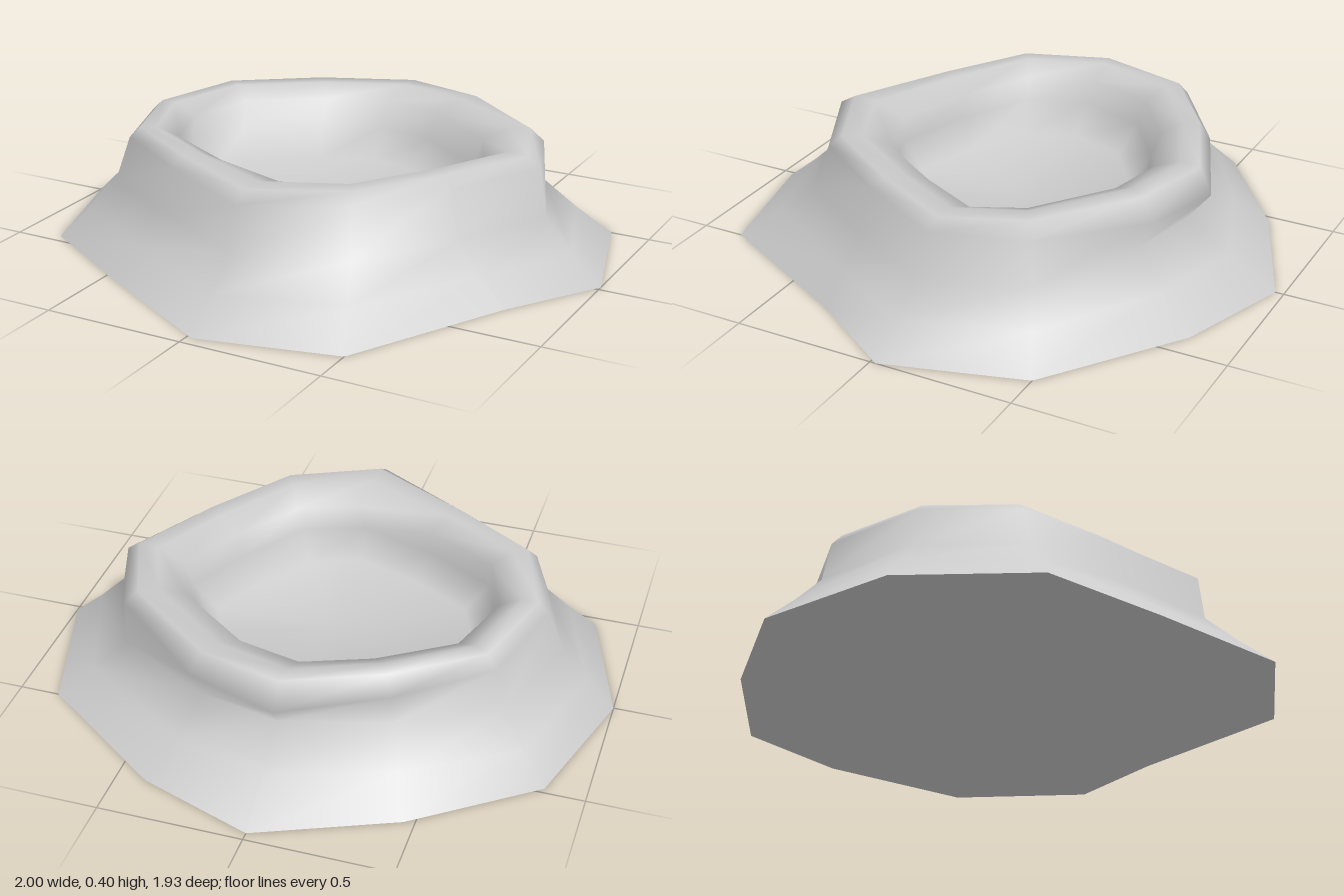
import * as THREE from 'three';

// Twelve-sided outlines as [x, z], starting at the back and going round past +x
const foot = [[0, -0.97], [0.4, -0.83], [0.86, -0.5], [1, -0.02], [0.79, 0.3], [0.5, 0.85],
  [0.02, 0.96], [-0.45, 0.7], [-0.85, 0.46], [-1, 0], [-0.86, -0.48], [-0.465, -0.77]];
const waist = [[0, -0.64], [0.28, -0.58], [0.64, -0.39], [0.79, -0.04], [0.61, 0.28], [0.39, 0.6],
  [0.02, 0.73], [-0.36, 0.53], [-0.68, 0.35], [-0.81, 0], [-0.69, -0.37], [-0.36, -0.54]];
const rim = [[-0.01, -0.72], [0.3, -0.64], [0.64, -0.37], [0.75, -0.07], [0.57, 0.25], [0.36, 0.55],
  [0.03, 0.71], [-0.34, 0.5], [-0.64, 0.31], [-0.75, -0.01], [-0.65, -0.36], [-0.36, -0.57]];
const lip = [[-0.03, -0.51], [0.19, -0.46], [0.45, -0.27], [0.53, -0.1], [0.42, 0.12], [0.26, 0.36],
  [0.04, 0.44], [-0.24, 0.35], [-0.5, 0.21], [-0.58, -0.01], [-0.5, -0.26], [-0.26, -0.42]];
const rimHeight = [0.3, 0.32, 0.35, 0.36, 0.36, 0.36, 0.36, 0.36, 0.36, 0.36, 0.35, 0.33];

const N = foot.length;
const ring = (outline, y) => outline.map(([x, z], i) => [x, Array.isArray(y) ? y[i] : y, z]);
const blend = (a, b, t) => a.map(([x, z], i) => [x + (b[i][0] - x) * t, z + (b[i][1] - z) * t]);
const shift = (a, s, dx, dz) => a.map(([x, z]) => [x * s + dx, z * s + dz]);

// Skin a stack of rings, optionally closing the last one onto a centre point
function skin(rings, centre) {
  const positions = rings.flat(2);
  const index = [];
  for (let k = 0; k < rings.length - 1; k++) {
    for (let i = 0; i < N; i++) {
      const j = (i + 1) % N;
      const a = k * N + i, b = k * N + j, c = a + N, d = b + N;
      index.push(a, c, b, b, c, d);
    }
  }
  if (centre) {
    const last = (rings.length - 1) * N;
    positions.push(...centre);
    for (let i = 0; i < N; i++) index.push(last + i, last + N, last + (i + 1) % N);
  }
  const geometry = new THREE.BufferGeometry();
  geometry.setAttribute('position', new THREE.Float32BufferAttribute(positions, 3));
  geometry.setIndex(index);
  geometry.computeVertexNormals();
  return geometry;
}

export function createModel() {
  const group = new THREE.Group();
  group.name = 'crater';
  const material = new THREE.MeshStandardMaterial({ color: 0xcccccc, roughness: 0.9 });
  const add = (name, geometry) => {
    const mesh = new THREE.Mesh(geometry, material);
    mesh.name = name;
    group.add(mesh);
  };

  // Flared slope, rounded rim and hollow bowl as one smooth skin
  add('craterWall', skin([
    ring(foot, 0),
    ring(blend(foot, waist, 0.53), 0.1),
    ring(waist, 0.2),
    ring(rim, rimHeight),
    ring(blend(rim, lip, 0.22), 0.395),
    ring(blend(rim, lip, 0.55), 0.395),
    ring(lip, 0.355),
    ring(shift(lip, 0.97, -0.01, 0.02), 0.26),
    ring(shift(lip, 0.82, -0.01, 0.02), 0.16),
  ], [0, 0.13, 0]));

  // Flat underside: the foot outline reversed so that it faces down
  add('underside', skin([ring(foot, 0).reverse()], [0, 0, 0]));

  return group;
}
